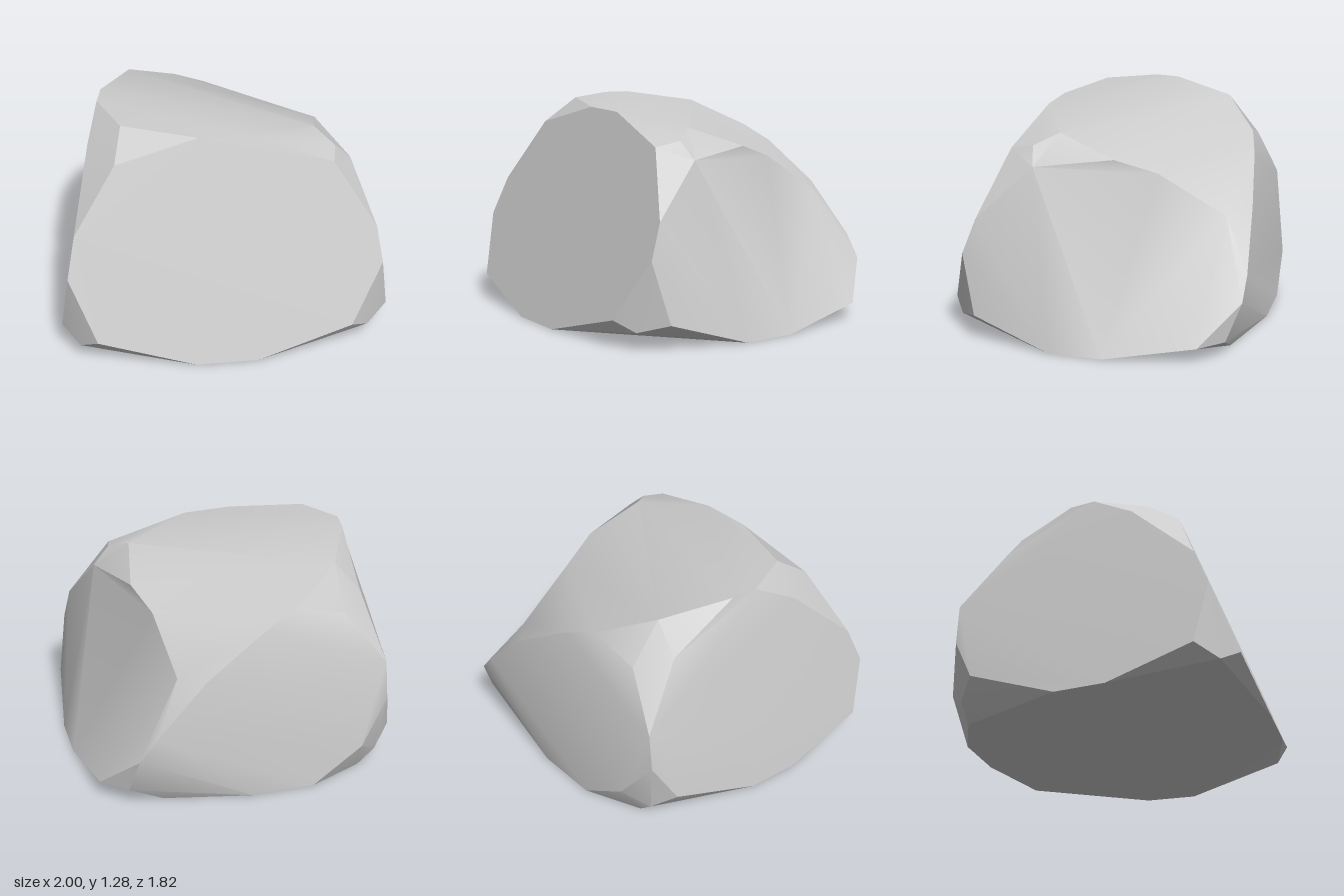
import * as THREE from 'three';
import { ConvexGeometry } from 'three/addons/geometries/ConvexGeometry.js';
import { toCreasedNormals } from 'three/addons/utils/BufferGeometryUtils.js';

// The front is one leaning plane, so its depth follows from the height.
const onFront = ([x, y]) => [x, y, 0.91 - 0.371 * y];

export function createModel() {
  // Outline of the large leaning front facet (x, y)
  const front = [
    [-0.24, 0], [0.12, 0], [0.68, 0.16], [0.87, 0.5], [0.84, 0.7], [0.6, 1.07],
    [0.12, 1.23], [-0.17, 1.24], [-0.65, 1.12], [-0.9, 0.75], [-0.95, 0.52], [-0.8, 0.16],
  ].map(onFront);

  // Numbers four and five on a point are an x and y bulge, used only while
  // the hull is found, so that the dished left side gets its own ridges.

  // Flat underside
  const base = [
    [1, 0, 0.17, 0.2], [1, 0, -0.14, 0.2], [0.9, 0, -0.4], [0.6, 0, -0.79],
    [0.1, 0, -0.91], [-0.27, 0, -0.91], [-0.6, 0, -0.77], [-0.92, 0, -0.15], [-0.96, 0, 0.15],
  ];

  // Chipped lower corners, one row per corner
  const lowerCorners = [
    [0.79, 0.1, 0.77], [0.93, 0.15, 0.64],
    [-0.9, 0.09, 0.76], [-1, 0.16, 0.64],
    [0.75, 0.32, -0.88], [0.8, 0.1, -0.8], [0.94, 0.1, -0.67],
    [-0.57, 0.2, -0.89], [-0.7, 0.1, -0.78], [-0.82, 0.2, -0.68],
  ];

  // Upper edge of the left side, falling towards the back
  const leftEdge = [
    [0.63, 1.1, 0.37], [0.73, 1.0, 0.34, 0.05, 0.04], [0.53, 1.16, 0.24],
    [0.6, 1.04, -0.1, 0.07, 0.06], [0.53, 0.96, -0.34, 0.12, 0.1], [0.49, 0.73, -0.73, 0.12, 0.1],
  ];

  // Upper edge of the back, sloping down to the left corner
  const backEdge = [
    [0.65, 0.45, -0.885], [0.35, 0.75, -0.85], [0, 0.98, -0.79], [-0.2, 1.07, -0.74],
    [-0.5, 0.99, -0.72], [-0.73, 0.69, -0.81], [-0.75, 0.45, -0.81],
  ];

  // Crown and upper edge of the right side
  const crown = [
    [-0.72, 1.28, 0], [-0.69, 1.28, -0.15], [-0.65, 1.05, -0.55, -0.03, 0.03],
    [-0.5, 1.22, -0.53], [-0.6, 1.265, 0.3], [-0.79, 1.13, 0.25],
  ];

  const rows = [front, base, lowerCorners, leftEdge, backEdge, crown].flat();
  const points = rows.map(([x, y, z]) => new THREE.Vector3(x, y, z));
  const bulged = rows.map(([x, y, z, dx = 0, dy = 0]) => new THREE.Vector3(x + dx, y + dy, z));

  // Wrap the bulged points, then pull them back in
  const hull = new ConvexGeometry(bulged);
  const position = hull.attributes.position;
  const corner = new THREE.Vector3();
  for (let i = 0; i < position.count; i++) {
    corner.fromBufferAttribute(position, i);
    const k = bulged.findIndex((p) => p.distanceTo(corner) < 1e-4);
    position.setXYZ(i, ...points[k].toArray());
  }

  const boulder = new THREE.Mesh(
    toCreasedNormals(hull, 0.45),
    new THREE.MeshStandardMaterial({ color: 0xcccccc })
  );
  boulder.name = 'boulder';

  const group = new THREE.Group();
  group.name = 'rock';
  group.add(boulder);
  return group;
}
